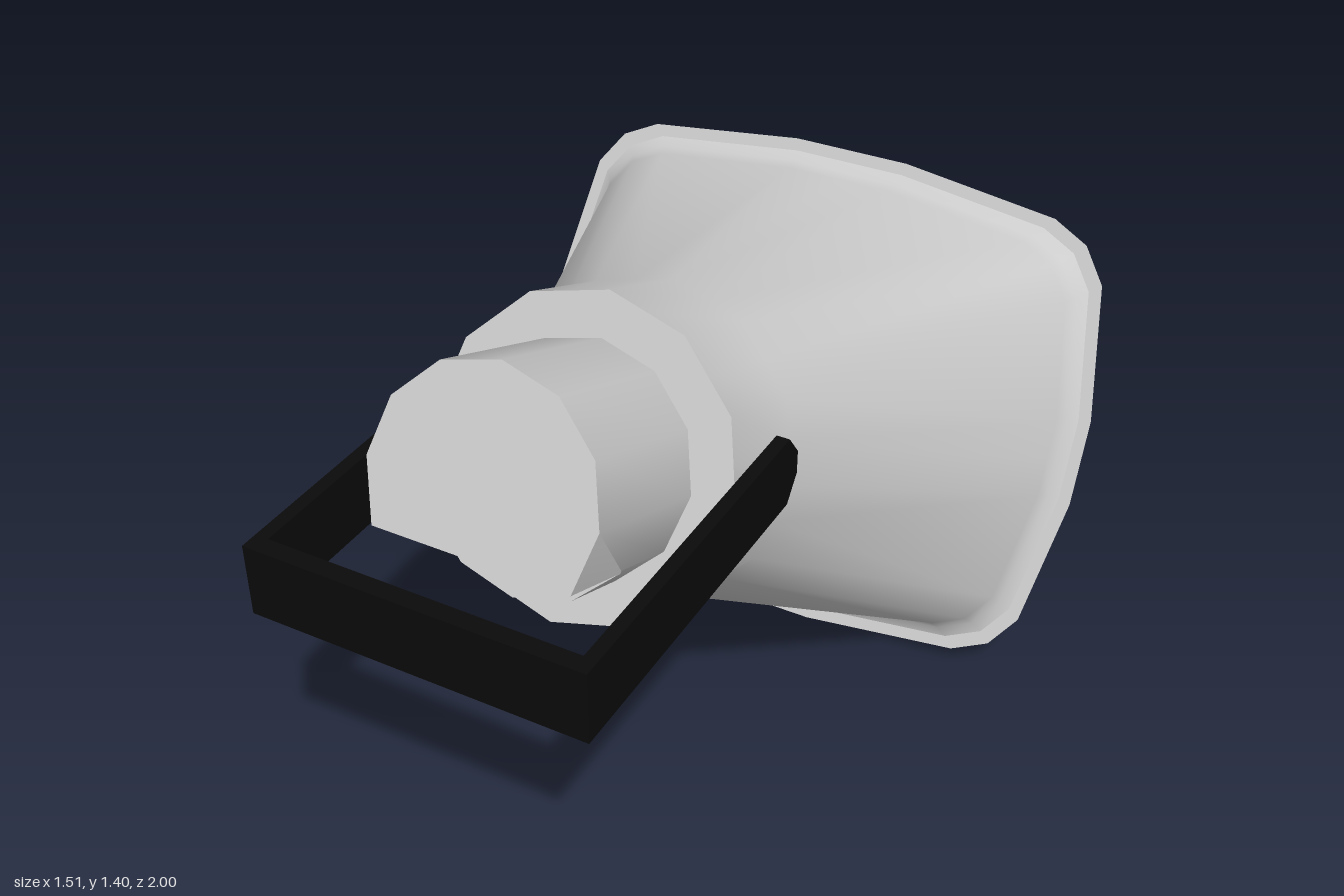
import * as THREE from 'three';
import { toCreasedNormals } from 'three/addons/utils/BufferGeometryUtils.js';

const grey = new THREE.MeshStandardMaterial({ color: 0xcccccc, side: THREE.DoubleSide });
const black = new THREE.MeshStandardMaterial({ color: 0x0b0b0b });

// Skin between cross-sections listed from the back (+z) to the mouth (-z),
// each running clockwise from the top when seen from the back.
// Diagonals are mirrored left to right.
function loft(name, rings, crease = 0.7) {
  const n = rings[0].length;
  const index = [];
  for (let r = 0; r < rings.length - 1; r++) {
    for (let k = 0; k < n; k++) {
      const a = r * n + k, b = r * n + (k + 1) % n;
      if (k < n / 2) index.push(a, b, b + n, a, b + n, a + n);
      else index.push(a, b, a + n, b, b + n, a + n);
    }
  }
  const geometry = new THREE.BufferGeometry();
  geometry.setAttribute('position', new THREE.Float32BufferAttribute(rings.flat(2), 3));
  geometry.setIndex(index);
  const mesh = new THREE.Mesh(toCreasedNormals(geometry, crease), grey);
  mesh.name = name;
  return mesh;
}

// Twelve-sided ring of radius r at depth t; "split" also adds the side midpoints.
function ring(r, t, split = false) {
  const n = split ? 24 : 12;
  return Array.from({ length: n }, (_, k) => {
    const a = (k / n) * Math.PI * 2;
    const d = split && k % 2 ? r * Math.cos(Math.PI / 12) : r;
    return [d * Math.sin(a), d * Math.cos(a), -t];
  });
}

// Rounded rectangular mouth outline, mirrored from one quadrant.
const quadrant = [[0, 0.612], [0.15, 0.612], [0.55, 0.565], [0.64, 0.52], [0.7, 0.435], [0.755, 0.108]];
const mouthOutline = [
  ...quadrant,
  [0.755, 0],
  ...quadrant.slice(1).reverse().map(([x, y]) => [x, -y]),
  [0, -0.612],
  ...quadrant.slice(1).map(([x, y]) => [-x, -y]),
  [-0.755, 0],
  ...quadrant.slice(1).reverse().map(([x, y]) => [-x, y]),
];
// Outline drawn in by a constant inset, at depth t.
function mouth(inset, t) {
  const sx = 1 - inset / 0.755, sy = 1 - inset / 0.612;
  return mouthOutline.map(([x, y]) => [x * sx, y * sy + 0.01, -t]);
}

function createDriver() {
  const back = -0.386, step = back + 0.2;
  const face = ring(0.26, back);
  const floor = ring(0.26, back);
  const shoulder = ring(0.26, back);
  // notch below the back face: flat floor running in to a lower step
  for (let k = 4; k <= 8; k++) {
    face[k][1] = floor[k][1] = -0.135;
    floor[k][2] = shoulder[k][2] = -step;
  }
  // inside the body the cylinder runs on and tapers to the tip
  return loft('driver', [
    ring(0, back), face, floor, shoulder, ring(0.26, 0),
    ring(0.26, 0.75), ring(0.085, 1.21), ring(0, 1.21),
  ], 0.6);
}

function createBracket() {
  const bracket = new THREE.Group();
  bracket.name = 'bracket';
  bracket.position.x = 0.005;
  // arm side profile, x = depth along z, with a clipped front end
  const profile = new THREE.Shape(
    [[0.96, 0.915], [0.96, 1.08], [0.19, 1.08], [0.147, 1.025], [0.147, 0.97], [0.19, 0.915]]
      .map(([z, y]) => new THREE.Vector2(-z, y)));
  const armGeometry = new THREE.ExtrudeGeometry(profile, { depth: 0.03, bevelEnabled: false });
  armGeometry.rotateY(Math.PI / 2);
  for (const [name, x] of [['leftArm', 0.347], ['rightArm', -0.377]]) {
    const arm = new THREE.Mesh(armGeometry, black);
    arm.name = name;
    arm.position.x = x;
    bracket.add(arm);
  }
  const bar = new THREE.Mesh(new THREE.BoxGeometry(0.754, 0.165, 0.04), black);
  bar.name = 'crossbar';
  bar.position.set(0, 0.9975, 0.98);
  bracket.add(bar);
  return bracket;
}

export function createModel() {
  const model = new THREE.Group();
  model.name = 'hornSpeaker';

  // everything but the bracket shares one axis that tips the mouth downwards
  const horn = new THREE.Group();
  horn.name = 'horn';
  horn.position.set(0, 1.022, 0.3875);
  horn.rotation.x = -Math.PI / 8;
  model.add(horn);

  horn.add(createDriver());

  // body: stepped collar, then a square flare that curls out at the mouth
  horn.add(loft('body', [
    ring(0.26, 0, true), ring(0.36, 0, true), ring(0.36, 0.286, true),
    mouth(0.072, 1.15), mouth(0.055, 1.18), mouth(0.03, 1.2),
  ], 0.9));

  // lip around the mouth
  horn.add(loft('lip', [
    mouth(0.03, 1.2), mouth(0, 1.2), mouth(0.034, 1.258), mouth(0.055, 1.235), mouth(0.072, 1.15),
  ], 0.9));

  model.add(createBracket());
  return model;
}
